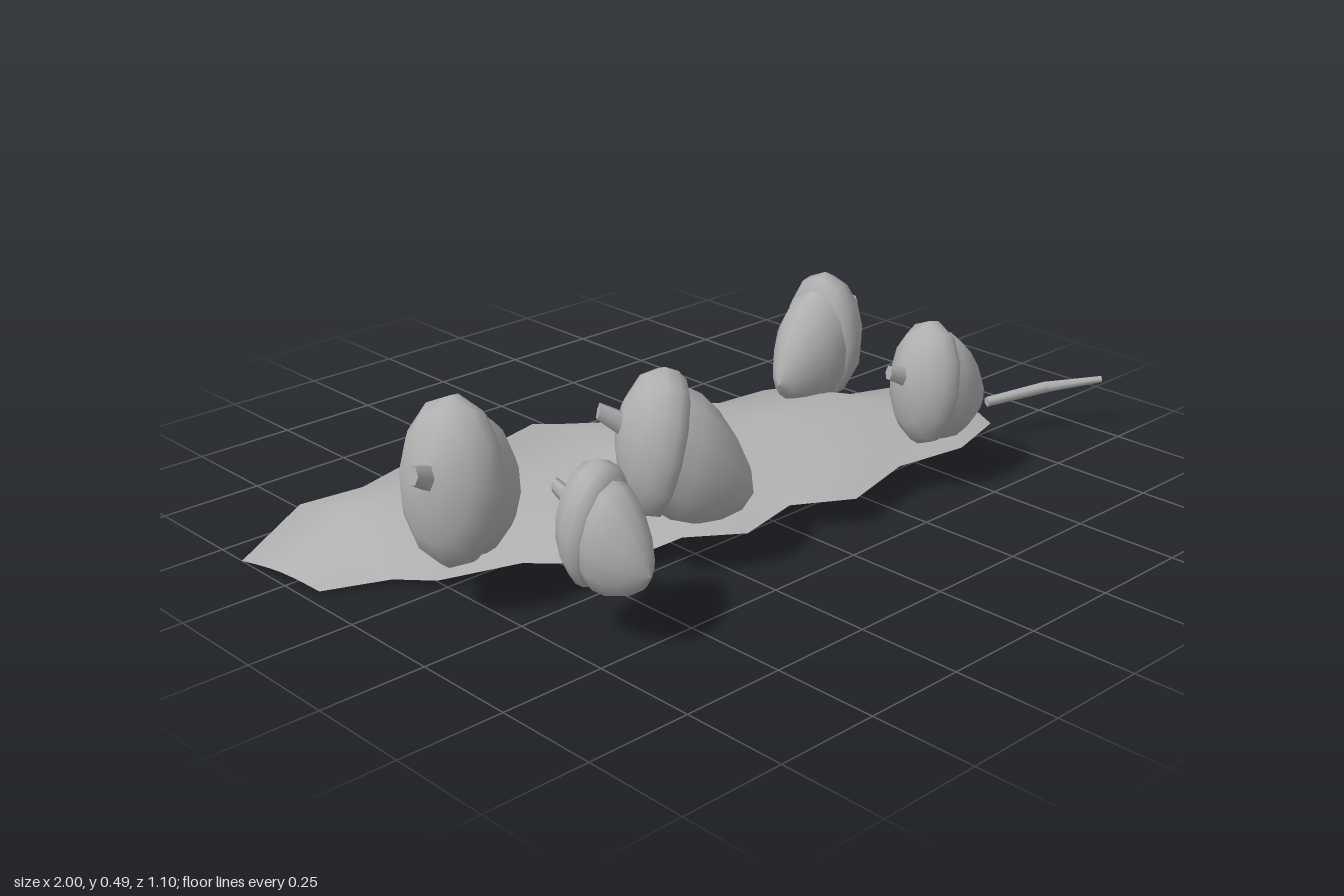
import * as THREE from 'three';

const grey = new THREE.MeshStandardMaterial({ color: 0xb0b0b0, side: THREE.DoubleSide });
grey.name = 'plain grey';

function mesh(name, geometry) {
  const m = new THREE.Mesh(geometry, grey);
  m.name = name;
  return m;
}

// Serrated leaf: matching rim points on the back and front edges, arched over a central ridge
function leafGeometry() {
  const back = [[-1, -0.42], [-0.76, -0.55], [-0.61, -0.51], [-0.425, -0.54], [-0.3, -0.45], [-0.12, -0.475],
    [-0.01, -0.355], [0.16, -0.36], [0.26, -0.22], [0.415, -0.19], [0.5, -0.03], [0.64, 0.035], [0.725, 0.2]];
  const front = [[-0.965, -0.17], [-0.83, -0.09], [-0.77, -0.01], [-0.6, 0.07], [-0.47, 0.23], [-0.29, 0.25],
    [-0.18, 0.345], [-0.02, 0.32], [0.105, 0.41], [0.3, 0.37], [0.48, 0.41], [0.64, 0.37], [0.725, 0.2]];
  const arch = [0.01, 0.07, 0.09, 0.085, 0.085, 0.09, 0.1, 0.085, 0.09, 0.08, 0.055, 0.03, 0];
  const cols = 8, pos = [], index = [];
  for (let i = 0; i < back.length; i++) {
    for (let j = 0; j <= cols; j++) {
      const t = j / cols;
      const x = THREE.MathUtils.lerp(back[i][0], front[i][0], t);
      const z = THREE.MathUtils.lerp(back[i][1], front[i][1], t);
      const rim = 0.005 + 0.085 * (x + 1) - 0.015 * (x + 1) ** 2;
      const bend = 1 - Math.abs(2 * t - 1) ** 1.6;
      pos.push(x, rim + arch[i] * bend, z);
      if (i < back.length - 1 && j < cols) {
        const a = i * (cols + 1) + j, b = a + cols + 1;
        index.push(a, a + 1, b);
        if (i < back.length - 2) index.push(a + 1, b + 1, b);
        else if (j === cols - 1) index.push(a + 1, b + 1, b);
      }
    }
  }
  const g = new THREE.BufferGeometry();
  g.setAttribute('position', new THREE.Float32BufferAttribute(pos, 3));
  g.setIndex(index);
  g.computeVertexNormals();
  return g;
}

// Profile of [along axis, radius] turned around the x axis
function turned(profile, r, stretch = 1) {
  const pts = profile.map(([x, y]) => new THREE.Vector2(y * r, x * r * stretch));
  return new THREE.LatheGeometry(pts, 12).rotateZ(-Math.PI / 2);
}

const CAP = [[-0.92, 0], [-0.86, 0.35], [-0.62, 0.75], [-0.28, 0.96], [0, 1], [0.2, 0.95], [0.28, 0.82]];
const NUT = [[0.1, 0.86], [0.5, 0.88], [0.9, 0.79], [1.35, 0.57], [1.72, 0.3], [1.9, 0]];

// Acorn lying on its side, taller than wide, nut pointing along (dx, dz)
function acorn([x, y, z], r, [dx, dz], tilt, nutLength) {
  const body = new THREE.Group();
  body.name = 'acornBody';
  body.rotation.set(0, Math.atan2(-dz, dx), -tilt);
  const stem = new THREE.CylinderGeometry(0.12 * r, 0.17 * r, 0.55 * r, 6);
  stem.rotateZ(Math.PI / 2).translate(-1.08 * r, 0, 0);
  body.add(
    mesh('acornCap', turned(CAP, r)),
    mesh('acornNut', turned(NUT, r, nutLength)),
    mesh('acornStem', stem));
  const g = new THREE.Group();
  g.name = 'acorn';
  g.position.set(x, y, z);
  g.scale.y = 1.65;
  g.add(body);
  return g;
}

// Tapered stick between two points
function stick(name, a, b, ra, rb) {
  const d = b.clone().sub(a);
  const m = mesh(name, new THREE.CylinderGeometry(rb, ra, d.length(), 6));
  m.position.copy(a).add(b).multiplyScalar(0.5);
  m.quaternion.setFromUnitVectors(new THREE.Vector3(0, 1, 0), d.normalize());
  return m;
}

export function createModel() {
  const model = new THREE.Group();
  model.name = 'leafWithAcorns';
  model.add(mesh('leaf', leafGeometry()));

  // Bent leaf stalk beyond the leaf base
  const p = [[0.73, 0.112, 0.285], [0.89, 0.128, 0.35], [0.995, 0.146, 0.44]].map((v) => new THREE.Vector3(...v));
  model.add(stick('stalkInner', p[0], p[1], 0.013, 0.015), stick('stalkOuter', p[1], p[2], 0.015, 0.009));

  // Centre of cap, radius, heading, downward tilt, nut length
  [
    [[-0.81, 0.31, 0.12], 0.115, [0.21, -0.08], 0.28, 1.05],
    [[-0.385, 0.32, 0.285], 0.106, [0.19, 0.11], 0.38, 1.1],
    [[0.385, 0.28, 0.375], 0.093, [0.17, 0.025], 0.25, 1],
    [[0.44, 0.285, -0.01], 0.1, [-0.19, 0.025], 0.25, 1],
    [[-0.675, 0.265, 0.41], 0.088, [0.02, 0.16], 0.3, 0.88],
  ].forEach((a) => model.add(acorn(...a)));
  return model;
}
